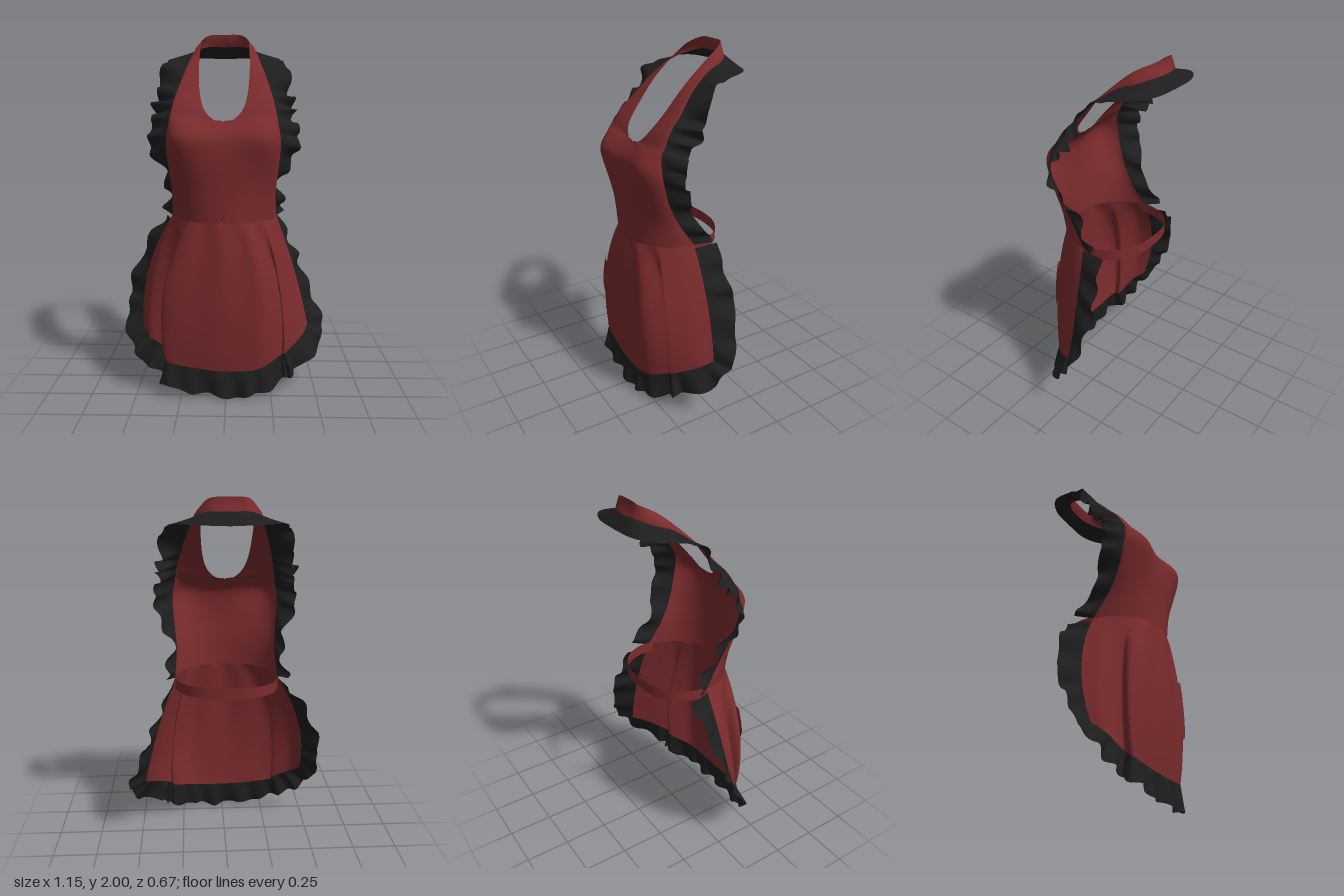
import * as THREE from 'three';

const V = (x, y, z) => new THREE.Vector3(x, y, z);
const curve = pts => new THREE.CatmullRomCurve3(pts.map(p => V(...p)), false, 'catmullrom', 0.5);

// Cloth sheet from a rule f(u, v) -> Vector3
function sheet(name, material, f, nu, nv) {
  const pos = [], index = [];
  for (let j = 0; j <= nv; j++) {
    for (let i = 0; i <= nu; i++) pos.push(...f(i / nu, j / nv).toArray());
  }
  for (let j = 0; j < nv; j++) {
    for (let i = 0; i < nu; i++) {
      const a = j * (nu + 1) + i, b = a + nu + 1;
      index.push(a, b, a + 1, a + 1, b, b + 1);
    }
  }
  const geo = new THREE.BufferGeometry();
  geo.setAttribute('position', new THREE.Float32BufferAttribute(pos, 3));
  geo.setIndex(index);
  geo.computeVertexNormals();
  const mesh = new THREE.Mesh(geo, material);
  mesh.name = name;
  return mesh;
}

// Gathered frill: grows from edge(t) along offset(t), waving more toward its rim
function ruffle(name, material, edge, offset, waves, amp, n) {
  return sheet(name, material, (t, v) => {
    const e = edge(t), o = offset(t);
    const tangent = edge(Math.min(1, t + 0.01)).sub(edge(Math.max(0, t - 0.01))).normalize();
    const normal = tangent.clone().cross(o).normalize();
    const a = t * waves * Math.PI * 2;
    const wave = Math.sin(a + 0.9 * Math.sin(a * 0.37)) * (0.75 + 0.25 * Math.sin(a * 0.23));
    const grow = Math.pow(v, 0.8) * amp(t);
    return e.addScaledVector(o, v * (1 + 0.1 * Math.sin(a * 0.61) * amp(t) / 0.03))
      .addScaledVector(normal, wave * grow)
      .addScaledVector(tangent, Math.cos(a * 1.3) * grow * 0.2);
  }, n, 5);
}

// Bib half: [inner edge xyz, outer edge xyz] from waist up to the nape
const BIB = [
  [0, 0.98, 0.285, 0.295, 0.98, 0.02],
  [0, 1.15, 0.29, 0.285, 1.12, 0.11],
  [0, 1.3, 0.297, 0.295, 1.25, 0.175],
  [0, 1.43, 0.285, 0.305, 1.4, 0.215],
  [0, 1.51, 0.225, 0.29, 1.5, 0.215],
  [0.055, 1.525, 0.215, 0.28, 1.56, 0.185],
  [0.105, 1.58, 0.185, 0.265, 1.63, 0.14],
  [0.13, 1.67, 0.11, 0.245, 1.7, 0.07],
  [0.14, 1.8, 0, 0.215, 1.79, -0.01],
  [0.138, 1.915, -0.13, 0.185, 1.87, -0.12],
  [0.13, 1.965, -0.2, 0.165, 1.905, -0.21],
  [0.085, 1.997, -0.262, 0.1, 1.93, -0.275],
  [0, 2, -0.27, 0, 1.93, -0.29],
];
// Frill reach beyond the outer edge of each bib row
const BIB_FRILL = [
  [0.05, 0.01, -0.09], [0.03, 0, -0.1], [0.04, -0.01, -0.1], [0.11, -0.02, -0.08], [0.1, -0.02, -0.08],
  [0.105, -0.02, -0.09], [0.11, -0.02, -0.1], [0.12, 0, -0.08], [0.13, 0.02, -0.03],
  [0.13, -0.02, -0.02], [0.11, -0.035, -0.06], [0.06, -0.06, -0.06], [0, -0.065, -0.05],
];

// Skirt cross-sections [x, hem height, z], left to right, with a fold at each side
const MIDDLE = [
  [-0.42, 0, 0.03], [-0.38, 0, 0.12], [-0.29, 0, 0.18], [-0.31, 0, 0.25], [-0.16, 0, 0.3], [0, 0, 0.305],
  [0.16, 0, 0.295], [0.258, 0, 0.2], [0.28, 0, 0.197], [0.325, 0, 0.1], [0.36, 0, 0],
];
const HEM = [
  [-0.47, 0.35, 0.11], [-0.42, 0.3, 0.17], [-0.31, 0.24, 0.2], [-0.33, 0.2, 0.26], [-0.17, 0.17, 0.28], [0, 0.155, 0.29],
  [0.18, 0.165, 0.275], [0.3, 0.21, 0.19], [0.335, 0.23, 0.19], [0.43, 0.29, 0.085], [0.47, 0.33, 0],
];
// Skirt frill: [u, v on the skirt, reach xyz]
const SKIRT_FRILL = [
  [0, 0.03, -0.03, 0, -0.13], [0, 0.4, -0.08, 0, -0.1], [0, 0.72, -0.09, -0.02, -0.06], [0, 1, -0.1, -0.04, -0.01],
  [0.1, 1, -0.08, -0.1, 0.01], [0.2, 1, -0.05, -0.14, 0.02], [0.3, 1, -0.02, -0.13, 0.03], [0.4, 1, 0, -0.14, 0.01],
  [0.5, 1, 0, -0.145, 0.01], [0.6, 1, 0.01, -0.145, 0.01], [0.7, 1, 0.02, -0.14, 0], [0.8, 1, 0.03, -0.13, 0],
  [0.9, 1, 0.08, -0.11, -0.01], [1, 1, 0.1, -0.02, -0.05], [1, 0.72, 0.07, -0.02, -0.12],
  [1, 0.4, 0.04, 0, -0.14], [1, 0.03, 0.01, 0, -0.13],
];

const middle = curve(MIDDLE), hem = curve(HEM);
function skirtPoint(u, v) {
  const a = (u - 0.5) * Math.PI;
  const top = V(-0.015 + 0.295 * Math.sin(a), 0, 0.02 + 0.265 * Math.cos(a));
  const m = middle.getPoint(u), h = hem.getPoint(u);
  // Smooth flare through waist, middle and hem
  const p = top.multiplyScalar((v - 0.35) * (v - 1) / 0.35)
    .addScaledVector(m, v * (v - 1) / (0.35 * -0.65))
    .addScaledVector(h, v * (v - 0.35) / 0.65);
  p.y = 0.98 + (h.y - 0.98) * v;
  p.z += 0.009 * Math.sin(u * 42) * Math.sin(Math.PI * u) * Math.sin(Math.PI * Math.sqrt(v));
  return p;
}

export function createModel() {
  const red = new THREE.MeshStandardMaterial({ color: 0x7b2b2d, side: THREE.DoubleSide });
  red.name = 'wine red cloth';
  const black = new THREE.MeshStandardMaterial({ color: 0x1e1e1e, side: THREE.DoubleSide });
  black.name = 'black frill';
  const apron = new THREE.Group();
  apron.name = 'apron';

  // Bib, neck strap and their frill, one half per side
  const inner = curve(BIB.map(r => r.slice(0, 3)));
  const outer = curve(BIB.map(r => r.slice(3)));
  const reach = curve(BIB_FRILL);
  for (const side of [-1, 1]) {
    const label = side > 0 ? 'left' : 'right';
    const place = p => V(-0.015 + side * p.x, p.y, p.z);
    apron.add(sheet(label + 'Bib', red, (u, v) => {
      const a = inner.getPoint(v), b = outer.getPoint(v);
      a.x = Math.max(0, a.x);
      const s = Math.sin(u * Math.PI / 2), c = Math.cos(u * Math.PI / 2);
      // Fullness at the chest
      const chest = 0.045 * Math.sin(Math.PI * u) ** 2 * Math.exp(-(((v - 0.28) / 0.1) ** 2));
      return place(V(a.x + (b.x - a.x) * s, a.y + (b.y - a.y) * u, b.z + (a.z - b.z) * c + chest));
    }, 16, 96));
    apron.add(ruffle(label + 'BibFrill', black,
      t => place(outer.getPoint(t)),
      t => { const o = reach.getPoint(t); return V(side * o.x, o.y, o.z); },
      11, t => 0.028 * (1 - THREE.MathUtils.smoothstep(t, 0.6, 0.8)), 180));
  }

  // Skirt and the frill around its sides and hem
  apron.add(sheet('skirt', red, skirtPoint, 100, 30));
  const onSkirt = curve(SKIRT_FRILL.map(r => r.slice(2)));
  const edge = t => {
    const k = Math.min(t * (SKIRT_FRILL.length - 1), SKIRT_FRILL.length - 1.0001);
    const i = Math.floor(k), a = SKIRT_FRILL[i], b = SKIRT_FRILL[i + 1];
    return skirtPoint(a[0] + (b[0] - a[0]) * (k - i), a[1] + (b[1] - a[1]) * (k - i));
  };
  apron.add(ruffle('skirtFrill', black, edge, t => onSkirt.getPoint(t), 20, () => 0.02, 360));

  // Half-round pocket lying on the skirt front
  apron.add(sheet('pocket', red, (u, v) => {
    const a = u * 2 - 1;
    const p = skirtPoint(0.505 + 0.2 * a, 0.325 + 0.415 * v * Math.sqrt(Math.max(0, 1 - a * a)));
    p.x += 0.01 * a;
    p.z += 0.011;
    return p;
  }, 48, 12));

  // Waist tie looping behind the back
  const tie = curve([
    [-0.31, 0.96, 0.05], [-0.3, 0.962, -0.06], [-0.24, 0.965, -0.17], [-0.12, 0.967, -0.23],
    [0.07, 0.967, -0.23], [0.2, 0.965, -0.17], [0.27, 0.962, -0.06], [0.28, 0.96, 0.05],
  ]);
  apron.add(sheet('waistTie', red, (u, v) => {
    const p = tie.getPoint(u);
    p.y += (0.5 - v) * 0.062;
    return p;
  }, 60, 1));

  return apron;
}
